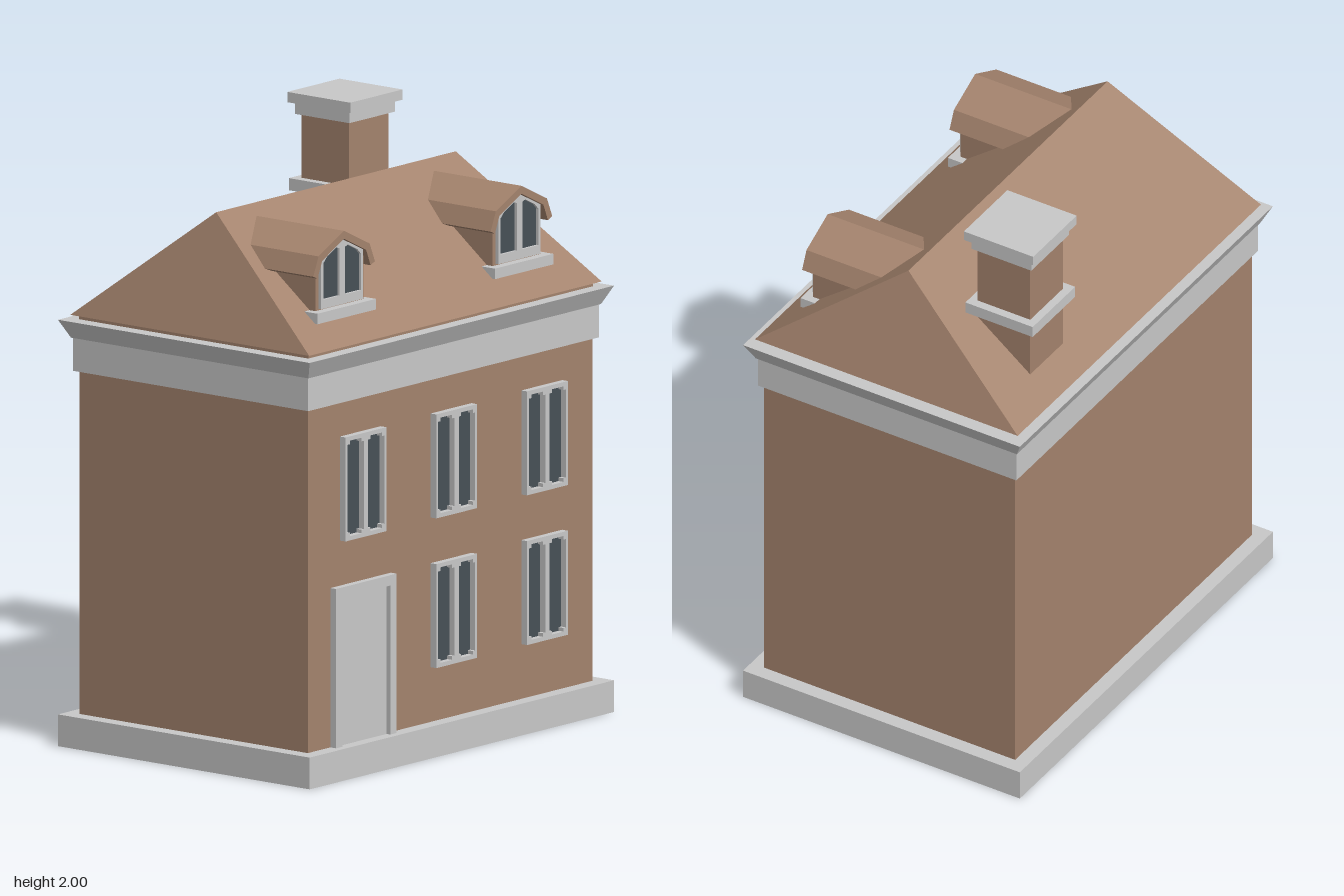
import * as THREE from 'three';

const brick = new THREE.MeshStandardMaterial({ name: 'brick brown', color: 0xa4836d });
const stone = new THREE.MeshStandardMaterial({ name: 'stone grey', color: 0xc8c8c8 });
const glass = new THREE.MeshStandardMaterial({ name: 'dark glass', color: 0x475057 });

function add(parent, name, geometry, material, x = 0, y = 0, z = 0) {
  const mesh = new THREE.Mesh(geometry, material);
  mesh.name = name;
  mesh.position.set(x, y, z);
  parent.add(mesh);
  return mesh;
}

// Box standing from y0 to y1
function slab(parent, name, material, w, d, y0, y1, x = 0, z = 0) {
  return add(parent, name, new THREE.BoxGeometry(w, y1 - y0, d), material, x, (y0 + y1) / 2, z);
}

const toPoints = (list) => list.map(([x, y]) => new THREE.Vector2(x, y));
const mirrored = (list) => list.map(([x, y]) => [-x, y]).reverse();

// Flat outline with optional holes, extruded from z0 to z1
function panel(parent, name, material, outline, z0, z1, holes = []) {
  const shape = new THREE.Shape(toPoints(outline));
  holes.forEach((h) => shape.holes.push(new THREE.Path(toPoints(h))));
  const geometry = new THREE.ExtrudeGeometry(shape, { depth: z1 - z0, bevelEnabled: false });
  return add(parent, name, geometry, material, 0, 0, z0);
}

// Frame with two mirrored panes
function addWindow(parent, outline, pane, z0, z1) {
  const panes = [pane, mirrored(pane)];
  panel(parent, 'windowFrame', stone, outline, z0, z1, panes);
  panes.forEach((p) => panel(parent, 'windowPane', glass, p, z0, z0 + 0.005));
}

// Hipped roof with a ridge along x
function hipRoof(w, d, ridge, y0, y1) {
  const a = [-w, y0, d], b = [w, y0, d], c = [w, y0, -d], e = [-w, y0, -d];
  const r = [ridge, y1, 0], l = [-ridge, y1, 0];
  const faces = [a, b, r, a, r, l, c, e, l, c, l, r, b, c, r, e, a, l, a, e, c, a, c, b];
  const geometry = new THREE.BufferGeometry();
  geometry.setAttribute('position', new THREE.Float32BufferAttribute(faces.flat(), 3));
  geometry.computeVertexNormals();
  return geometry;
}

export function createModel() {
  const house = new THREE.Group();
  house.name = 'townHouse';

  // Plinth, walls and cornice
  slab(house, 'plinth', stone, 1.55, 1.054, 0, 0.105);
  slab(house, 'walls', brick, 1.45, 0.956, 0.105, 1.26);
  slab(house, 'corniceBand', stone, 1.48, 0.984, 1.24, 1.35);
  const crown = slab(house, 'corniceCrown', stone, 1.49, 0.994, 1.35, 1.41);
  const pos = crown.geometry.attributes.position;
  for (let i = 0; i < pos.count; i++) {
    if (pos.getY(i) > 0) {
      pos.setX(i, Math.sign(pos.getX(i)) * 0.775);
      pos.setZ(i, Math.sign(pos.getZ(i)) * 0.527);
    }
  }
  crown.geometry = crown.geometry.toNonIndexed();
  crown.geometry.computeVertexNormals();

  // Main roof
  slab(house, 'roofSeat', brick, 1.45, 0.96, 1.4, 1.428);
  add(house, 'mainRoof', hipRoof(0.745, 0.5, 0.61, 1.425, 1.81), brick);

  // Chimney
  const chimney = new THREE.Group();
  chimney.name = 'chimney';
  chimney.position.set(0.42, 0, -0.308);
  house.add(chimney);
  slab(chimney, 'chimneyStack', brick, 0.2, 0.2, 1.45, 1.94);
  slab(chimney, 'chimneyBand', stone, 0.26, 0.256, 1.675, 1.715);
  slab(chimney, 'chimneyLowerCap', stone, 0.232, 0.228, 1.927, 1.966);
  slab(chimney, 'chimneyUpperCap', stone, 0.266, 0.264, 1.966, 2);

  // Facade windows, panes with notched corners
  const frame = [[-0.104, -0.172], [0.104, -0.172], [0.104, 0.172], [-0.104, 0.172]];
  const x0 = 0.011, x1 = 0.094, h = 0.158, n = 0.012;
  const pane = [
    [x0 + n, -h], [x1 - n, -h], [x1 - n, -h + n], [x1, -h + n],
    [x1, h - n], [x1 - n, h - n], [x1 - n, h], [x0 + n, h],
    [x0 + n, h - n], [x0, h - n], [x0, -h + n], [x0 + n, -h + n],
  ];
  for (const [x, y] of [[-0.458, 0.953], [0.004, 0.953], [0.466, 0.953], [0.004, 0.458], [0.466, 0.458]]) {
    const win = new THREE.Group();
    win.name = 'facadeWindow';
    win.position.set(x, y, 0);
    house.add(win);
    addWindow(win, frame, pane, 0.476, 0.502);
  }

  // Door and its surround
  panel(house, 'doorSurround', stone, [
    [-0.61, 0.105], [-0.578, 0.105], [-0.578, 0.598], [-0.334, 0.598],
    [-0.334, 0.105], [-0.302, 0.105], [-0.302, 0.632], [-0.61, 0.632],
  ], 0.47, 0.502);
  slab(house, 'door', stone, 0.246, 0.02, 0.105, 0.6, -0.456, 0.476);

  // Dormers
  const outer = [[0.157, 1.652], [0.13, 1.715], [0, 1.778]];
  const inner = [[0, 1.752], [0.112, 1.697], [0.135, 1.642]];
  const shell = [...outer, ...mirrored(outer).slice(1), ...mirrored(inner), ...inner.slice(1)];
  const body = [[-0.122, 1.45], [0.122, 1.45], [0.122, 1.675], [0.112, 1.7], [0, 1.756], [-0.112, 1.7], [-0.122, 1.675]];
  const dormerFrame = [[-0.107, 1.535], [0.107, 1.535], [0.107, 1.698], [0, 1.75], [-0.107, 1.698]];
  const dormerPane = [[0.014, 1.565], [0.096, 1.565], [0.096, 1.685], [0.078, 1.703], [0.03, 1.727], [0.014, 1.722]];
  for (const x of [-0.455, 0.448]) {
    const dormer = new THREE.Group();
    dormer.name = 'dormer';
    dormer.position.x = x;
    house.add(dormer);
    panel(dormer, 'dormerRoof', brick, shell, 0.02, 0.408);
    panel(dormer, 'dormerBody', brick, body, 0.02, 0.388);
    addWindow(dormer, dormerFrame, dormerPane, 0.386, 0.4);
    slab(dormer, 'dormerSill', stone, 0.298, 0.06, 1.495, 1.53, 0, 0.389);
  }

  return house;
}
